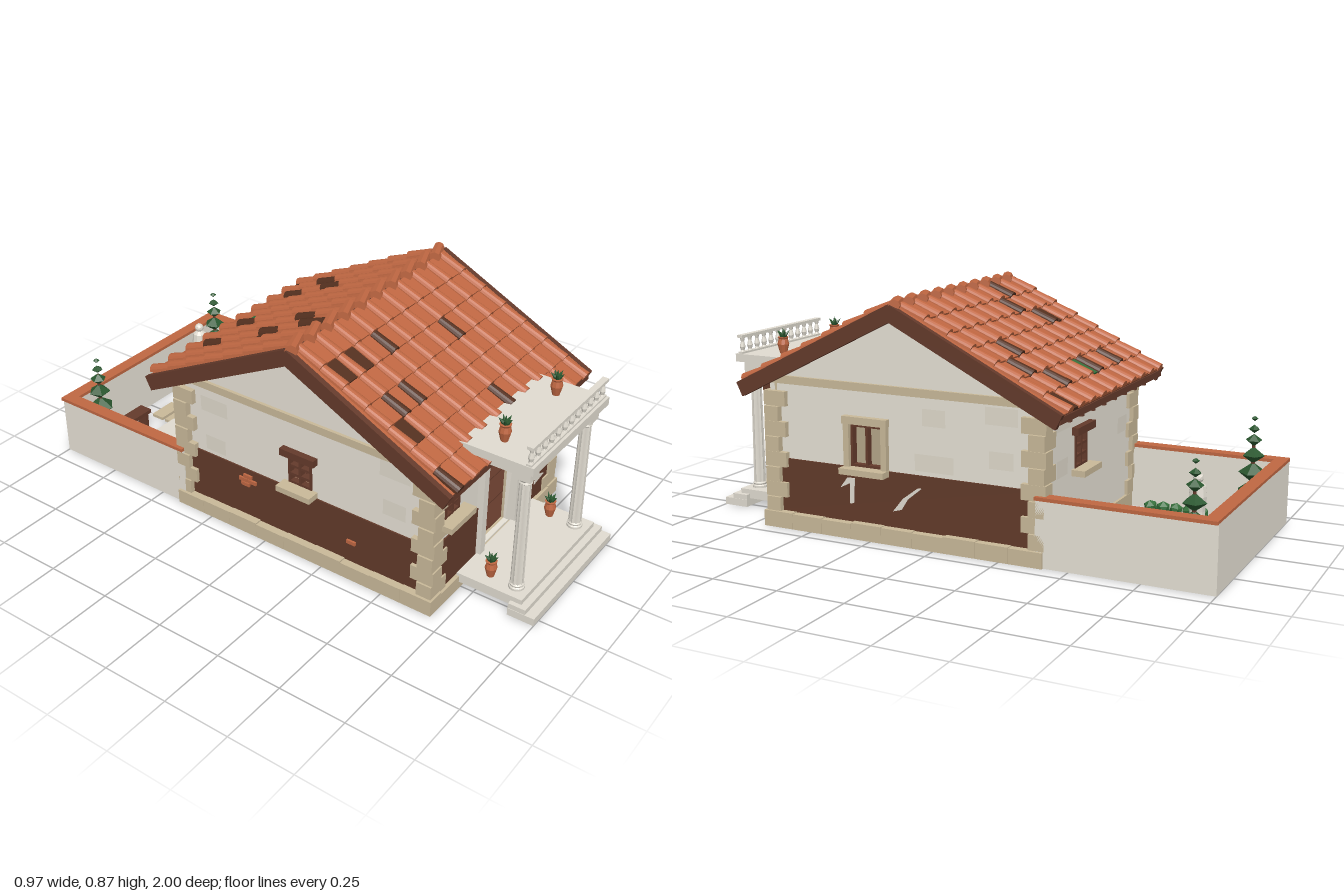
import * as THREE from 'three';

const mat = (name, color, side = THREE.FrontSide) => {
  const m = new THREE.MeshStandardMaterial({ color, side, flatShading: true });
  m.name = name;
  return m;
};

export function createModel() {
  const plaster = mat('plaster', 0xe6e1d5), agedPlaster = mat('aged plaster', 0xdfd9cb);
  const marble = mat('marble', 0xe0dbd0), stone = mat('tan stone', 0xc9b999);
  const tile = mat('terracotta', 0xbf6742, THREE.DoubleSide), darkTile = mat('dark tile', 0x54301f, THREE.DoubleSide);
  const wood = mat('wood', 0x643a2b), dado = mat('painted dado', 0x623a2a);
  const leaf = mat('foliage', 0x2a572f), moss = mat('light green', 0x356f3a);
  const root = new THREE.Group();
  root.name = 'villa';

  const group = (name, parent = root) => {
    const g = new THREE.Group();
    g.name = name;
    parent.add(g);
    return g;
  };
  const add = (name, geo, m, x = 0, y = 0, z = 0, parent = root) => {
    const mesh = new THREE.Mesh(geo, m);
    mesh.name = name;
    mesh.position.set(x, y, z);
    parent.add(mesh);
    return mesh;
  };
  // Box given by its limits on each axis
  const box = (name, m, x0, x1, y0, y1, z0, z1, parent) =>
    add(name, new THREE.BoxGeometry(x1 - x0, y1 - y0, z1 - z0), m, (x0 + x1) / 2, (y0 + y1) / 2, (z0 + z1) / 2, parent);
  const lathe = (pts, n = 12) => new THREE.LatheGeometry(pts.map(p => new THREE.Vector2(...p)), n);
  const poly = pts => new THREE.Shape(pts.map(p => new THREE.Vector2(...p)));
  const extrude = (shape, depth) => new THREE.ExtrudeGeometry(shape, { depth, bevelEnabled: false });

  // Walls: local x runs along the wall, z = 0 is the outer face
  const wall = (name, outline, hole, x, z, turn) => {
    const g = group(name);
    g.position.set(x, 0, z);
    g.rotation.y = turn;
    const shape = poly(outline);
    hole.forEach(([x0, x1, y0, y1]) => shape.holes.push(poly([[x0, y0], [x0, y1], [x1, y1], [x1, y0]])));
    add('outerWall', extrude(shape, 0.02), plaster, 0, 0, -0.02, g);
    add('innerLining', extrude(shape, 0.01), stone, 0, 0, -0.03, g);
    return g;
  };
  const flat = [[-0.41, 0.05], [0.41, 0.05], [0.41, 0.53], [-0.41, 0.53]];
  const gable = [[-0.54, 0.05], [0.54, 0.05], [0.54, 0.53], [0, 0.8], [-0.54, 0.53]];
  const front = wall('frontWall', flat, [[-0.105, 0.105, 0.06, 0.49], [-0.35, -0.26, 0.335, 0.445], [0.26, 0.35, 0.335, 0.445]], 0, 0.68, 0);
  const back = wall('backWall', flat, [[-0.155, -0.05, 0.275, 0.393]], 0, -0.4, Math.PI);
  const right = wall('gableWall', gable, [[-0.2, -0.07, 0.255, 0.41]], 0.41, 0.14, Math.PI / 2);
  const left = wall('gableWall', gable, [[-0.05, 0.05, 0.28, 0.39]], -0.41, 0.14, -Math.PI / 2);

  // Windows with a wooden grid, lintel and sill
  const windowFrame = (parent, x0, x1, y0, y1, rows, lintel, ext) => {
    const g = group('window', parent), t = 0.009, xm = (x0 + x1) / 2;
    [x0, xm - t / 2, x1 - t].forEach(x => box('upright', wood, x, x + t, y0, y1, -0.02, 0.005, g));
    for (let i = 0; i <= rows; i++) {
      const y = y0 + (y1 - y0 - t) * i / rows;
      box('crossbar', wood, x0, x1, y, y + t, -0.019, 0.004, g);
    }
    box('lintel', lintel, x0 - ext, x1 + ext, y1 + 0.003, y1 + 0.03, -0.01, 0.025, g);
    box('sill', stone, x0 - ext, x1 + ext, y0 - 0.022, y0, -0.01, 0.05, g);
  };
  [[-0.35, -0.26], [0.26, 0.35]].forEach(([a, b]) => windowFrame(front, a, b, 0.335, 0.445, 3, stone, 0.033));
  windowFrame(back, -0.155, -0.05, 0.275, 0.393, 3, wood, 0.025);
  windowFrame(left, -0.05, 0.05, 0.28, 0.39, 3, wood, 0.022);
  windowFrame(right, -0.2, -0.07, 0.258, 0.41, 1, stone, 0.025);
  [-0.222, -0.07].forEach(x => box('windowJamb', stone, x, x + 0.022, 0.25, 0.42, -0.01, 0.02, right));

  // Painted lower walls, with chips and bared bricks
  [right, left].forEach(w => {
    box('dado', dado, -0.53, 0.53, 0.055, 0.255, 0, 0.006, w);
    box('gableBeam', stone, -0.54, 0.54, 0.53, 0.559, -0.01, 0.012, w);
  });
  [[-0.39, -0.13], [0.13, 0.39]].forEach(([a, b]) => box('dado', dado, a, b, 0.055, 0.255, 0, 0.006, front));
  const chip = (w, pts) => add('plasterChip', extrude(poly(pts), 0.003), marble, 0, 0, 0.006, w);
  chip(front, [[0.275, 0.12], [0.345, 0.133], [0.325, 0.142], [0.28, 0.146]]);
  chip(right, [[-0.205, 0.12], [-0.19, 0.125], [-0.185, 0.215], [-0.215, 0.215], [-0.245, 0.175], [-0.205, 0.195]]);
  chip(right, [[-0.03, 0.115], [0.005, 0.125], [0.03, 0.165], [0.085, 0.21], [0.07, 0.21], [0.01, 0.165]]);
  [[-0.24, 0.195], [-0.21, 0.212], [-0.25, 0.212], [-0.23, 0.229], [0.22, 0.14]].forEach(([x, y]) =>
    box('bareBrick', tile, x - 0.018, x + 0.018, y - 0.007, y + 0.007, 0, 0.014, left));

  // Worn plaster panels
  [[right, 0.44], [left, 0.44], [back, 0.32]].forEach(([w, half]) => {
    for (let i = 0; i < 8; i++) {
      const x = -half + 0.06 + (i % 4) * half * 0.58, y = i < 4 ? 0.3 + (i % 2) * 0.04 : 0.46 + (i % 2) * 0.03;
      if (w === right ? x > 0 : Math.abs(x) > 0.2)
        add('wornPlaster', new THREE.PlaneGeometry(0.09 + (i % 3) * 0.03, 0.06), agedPlaster, x, y, 0.001, w);
    }
  });

  // Corner stones, alternating long and short
  const quoins = group('cornerStones');
  for (let i = 0; i < 8; i++) for (const sx of [-1, 1]) for (const sz of [-1, 1]) {
    const lx = i % 2 ? 0.055 : 0.095, lz = i % 2 ? 0.09 : 0.058, out = i % 2 ? 0.43 : 0.435;
    const cz = 0.14 + sz * ((i % 2 ? 0.556 : 0.552) - lz / 2);
    add('cornerStone', new THREE.BoxGeometry(lx, 0.054, lz), stone, sx * (out - lx / 2), 0.083 + i * 0.056, cz, quoins);
  }

  // Stone plinth around a plank floor
  const plinth = group('plinth');
  for (let i = 0; i < 9; i++) {
    const z = -0.41 + i * 1.11 / 9, h = 0.055 + (i % 3) * 0.002;
    for (const s of [-1, 1]) add('plinthStone', new THREE.BoxGeometry(0.07, h, 0.122), stone, s * 0.41, h / 2, z + 0.0617, plinth);
  }
  for (let i = 0; i < 7; i++) for (const z of [-0.38, 0.67])
    add('plinthStone', new THREE.BoxGeometry(0.108, 0.054, 0.06), stone, -0.327 + i * 0.109, 0.027, z, plinth);
  box('subfloor', wood, -0.4, 0.4, 0.015, 0.054, -0.38, 0.67);
  for (let i = 0; i < 14; i++) box('floorPlank', wood, -0.38, 0.38, 0.054, 0.062, -0.37 + i * 0.073, -0.3 + i * 0.073);

  // Table and bowl indoors
  box('tableTop', wood, -0.035, 0.17, 0.18, 0.191, 0.08, 0.22);
  for (const x of [-0.025, 0.15]) for (const z of [0.09, 0.2]) box('tableLeg', wood, x, x + 0.01, 0.06, 0.18, z, z + 0.01);
  add('bowl', new THREE.CylinderGeometry(0.026, 0.011, 0.017, 10), wood, 0.022, 0.199, 0.15);

  // Roof: each slope is a deck with rows of pans and covers
  const A = Math.atan(0.5), rows = 7, step = 0.0975;
  const cover = new THREE.CylinderGeometry(0.0225, 0.0195, 0.106, 8, 1, false, Math.PI / 2, Math.PI).rotateX(Math.PI / 2);
  const pan = new THREE.BoxGeometry(0.078, 0.01, 0.106);
  // Dark tiles as column:row, where whole columns are covers and halves are pans
  const dark = [
    ['0.5:1', '1.5:1', '3:1', '6:2', '1:3', '2:3', '0.5:4', '5:5', '0:6'],
    ['2:5', '4:5', '7:5', '8.5:6', '8:4', '7:3', '1.5:2', '2:2', '3:1', '2:0'],
  ];
  [0, 1].forEach(k => {
    const g = group(k ? 'backRoof' : 'frontRoof'), sx = k ? -1 : 1;
    g.position.set(0, 0.838, 0.14);
    g.rotation.set(A, k * Math.PI, 0, 'YXZ');
    box('roofDeck', wood, -0.465, 0.465, -0.032, 0, 0, 0.695, g);
    [-0.483, 0.462].forEach(x => box('bargeBoard', wood, x, x + 0.021, -0.045, 0.01, 0, 0.704, g));
    [-0.462, 0.437].forEach(x => box('edgeTile', tile, x, x + 0.025, 0, 0.009, 0, 0.7, g));
    for (let r = 0; r < rows; r++) for (let h = 0; h < 19; h++) {
      const c = h / 2, isPan = h % 2, key = c + ':' + r;
      const m = k && key === '4.5:5' ? moss : dark[k].includes(key) ? darkTile : tile;
      const t = add(isPan ? 'panTile' : 'coverTile', isPan ? pan : cover, m, sx * (-0.43 + c * 0.095),
        isPan ? 0.008 : 0.009, (r + 0.5) * step + (isPan ? 0.014 : 0.019), g);
      t.rotation.x = -0.07;
    }
  });
  const ridge = new THREE.CylinderGeometry(0.022, 0.02, 0.099, 8).rotateX(Math.PI / 8).rotateZ(Math.PI / 2);
  for (let i = 0; i < 10; i++) add('ridgeTile', ridge, tile, -0.427 + i * 0.0949, 0.845, 0.14);

  // Eaves boards and rafter ends
  [[0.752, 0.766], [-0.486, -0.472]].forEach(([a, b]) => box('eavesBoard', wood, -0.475, 0.475, 0.5, 0.523, a, b));
  for (let i = 0; i < 8; i++) for (const [a, b] of [[0.67, 0.75], [-0.47, -0.39]])
    box('rafterEnd', wood, -0.358 + i * 0.1, -0.342 + i * 0.1, 0.484, 0.51, a, b);

  // Porch: steps, door posts, columns and balcony
  box('lowerStep', marble, -0.285, 0.285, 0, 0.028, 0.9, 1);
  box('middleStep', marble, -0.283, 0.283, 0.026, 0.047, 0.9, 0.965);
  box('porchFloor', marble, -0.265, 0.265, 0.03, 0.065, 0.69, 0.94);
  for (const s of [-1, 1]) add('doorPost', new THREE.BoxGeometry(0.03, 0.44, 0.05), marble, s * 0.12, 0.28, 0.68);
  const shaft = new THREE.CylinderGeometry(0.0205, 0.0235, 0.41, 40, 1, true), p = shaft.attributes.position;
  for (let i = 0; i < p.count; i++) {
    const f = 1 - 0.1 * Math.abs(Math.sin(5 * Math.atan2(p.getZ(i), p.getX(i))));
    p.setXYZ(i, p.getX(i) * f, p.getY(i), p.getZ(i) * f);
  }
  const foot = lathe([[0, 0], [0.028, 0], [0.028, 0.008], [0.024, 0.012], [0.026, 0.018], [0.021, 0.024], [0, 0.024]], 16);
  const capital = lathe([[0.02, 0], [0.024, 0.004], [0.021, 0.01], [0.029, 0.022], [0, 0.022]], 16);
  for (const x of [-0.21, 0.21]) {
    const g = group('column');
    g.position.set(x, 0, 0.89);
    add('shaft', shaft, marble, 0, 0.29, 0, g);
    add('columnBase', foot, marble, 0, 0.065, 0, g);
    add('capital', capital, marble, 0, 0.49, 0, g);
    box('abacus', marble, -0.03, 0.03, 0.511, 0.527, -0.03, 0.03, g);
    box('sideBeam', marble, x - 0.03, x + 0.03, 0.527, 0.56, 0.67, 0.87);
  }
  box('frontBeam', marble, -0.24, 0.24, 0.526, 0.56, 0.86, 0.92);
  box('balconyFloor', marble, -0.265, 0.265, 0.56, 0.59, 0.66, 0.94);
  box('bottomRail', marble, -0.262, 0.262, 0.59, 0.597, 0.911, 0.93);
  box('topRail', marble, -0.262, 0.262, 0.65, 0.661, 0.909, 0.932);
  const baluster = lathe([[0.01, 0], [0.007, 0.007], [0.011, 0.02], [0.006, 0.04], [0.01, 0.055]], 8);
  for (let i = 0; i < 12; i++) add('baluster', baluster, marble, -0.248 + i * 0.045, 0.596, 0.92);

  // Potted plants on the balcony and the porch
  const pot = lathe([[0, 0], [0.013, 0], [0.022, 0.035], [0.017, 0.055], [0.021, 0.062], [0, 0.062]], 10);
  const frond = new THREE.ConeGeometry(0.011, 0.036, 5).translate(0, 0.018, 0);
  [[-0.21, 0.065, 0.79], [0.21, 0.065, 0.79], [-0.175, 0.59, 0.785], [0.175, 0.59, 0.785]].forEach(([x, y, z]) => {
    const g = group('pottedPlant');
    g.position.set(x, y, z);
    add('pot', pot, tile, 0, 0, 0, g);
    for (let i = 0; i < 6; i++)
      add('frond', frond, leaf, 0, 0.06, 0, g).rotation.set(i ? 0.75 : 0, i * 1.257, 0, 'YXZ');
  });

  // Walled garden with tiled coping
  const ring = [[-0.435, -0.4, -1, -0.38], [0.4, 0.435, -1, -0.38], [-0.4, 0.4, -1, -0.965]];
  ring.forEach(([a, b, c, d]) => box('gardenWall', plaster, a, b, 0, 0.234, c, d));
  [[-0.445, -0.397, -1, -0.38], [0.397, 0.445, -1, -0.38], [-0.397, 0.397, -1, -0.952]]
    .forEach(([a, b, c, d]) => box('coping', tile, a, b, 0.232, 0.244, c, d));
  box('gardenSlab', marble, -0.168, 0.165, 0, 0.025, -0.79, -0.6);
  [[-0.9, -0.845], [-0.832, -0.792], [-0.598, -0.56], [-0.548, -0.5]].forEach(([a, b]) => box('pathStone', stone, -0.06, 0.055, 0, 0.012, a, b));
  box('benchSeat', wood, -0.31, -0.122, 0.07, 0.085, -0.9, -0.845);
  [-0.295, -0.15].forEach(x => box('benchLeg', wood, x, x + 0.015, 0, 0.07, -0.895, -0.85));

  // Garden statue
  box('pedestal', marble, 0.175, 0.245, 0, 0.1, -0.895, -0.825);
  add('statueBody', lathe([[0.034, 0], [0.028, 0.05], [0.026, 0.1], [0.031, 0.15], [0.026, 0.185], [0.01, 0.198], [0, 0.198]], 10), marble, 0.21, 0.1, -0.86);
  add('statueHead', new THREE.IcosahedronGeometry(0.018, 1), marble, 0.21, 0.311, -0.86);

  // Tiered trees and low hedges
  for (const x of [-0.345, 0.34]) {
    const g = group('tieredTree');
    g.position.set(x, 0, -0.89);
    add('trunk', new THREE.CylinderGeometry(0.005, 0.013, 0.34, 6), wood, 0, 0.17, 0, g);
    [[0.13, 0.06], [0.2, 0.052], [0.265, 0.042], [0.32, 0.031], [0.362, 0.021], [0.4, 0.013]].forEach(([y, r], i) => {
      const t = add('foliage', new THREE.SphereGeometry(r, 5, 2), leaf, 0, y, 0, g);
      t.scale.y = 0.75;
      t.rotation.y = i * 0.5;
    });
  }
  for (const x of [-0.33, 0.33]) for (let i = 0; i < 5; i++)
    add('hedge', new THREE.IcosahedronGeometry(0.027), moss, x, 0.027, -0.71 + i * 0.05).rotation.set(i * 0.7, i, 0);

  return root;
}
